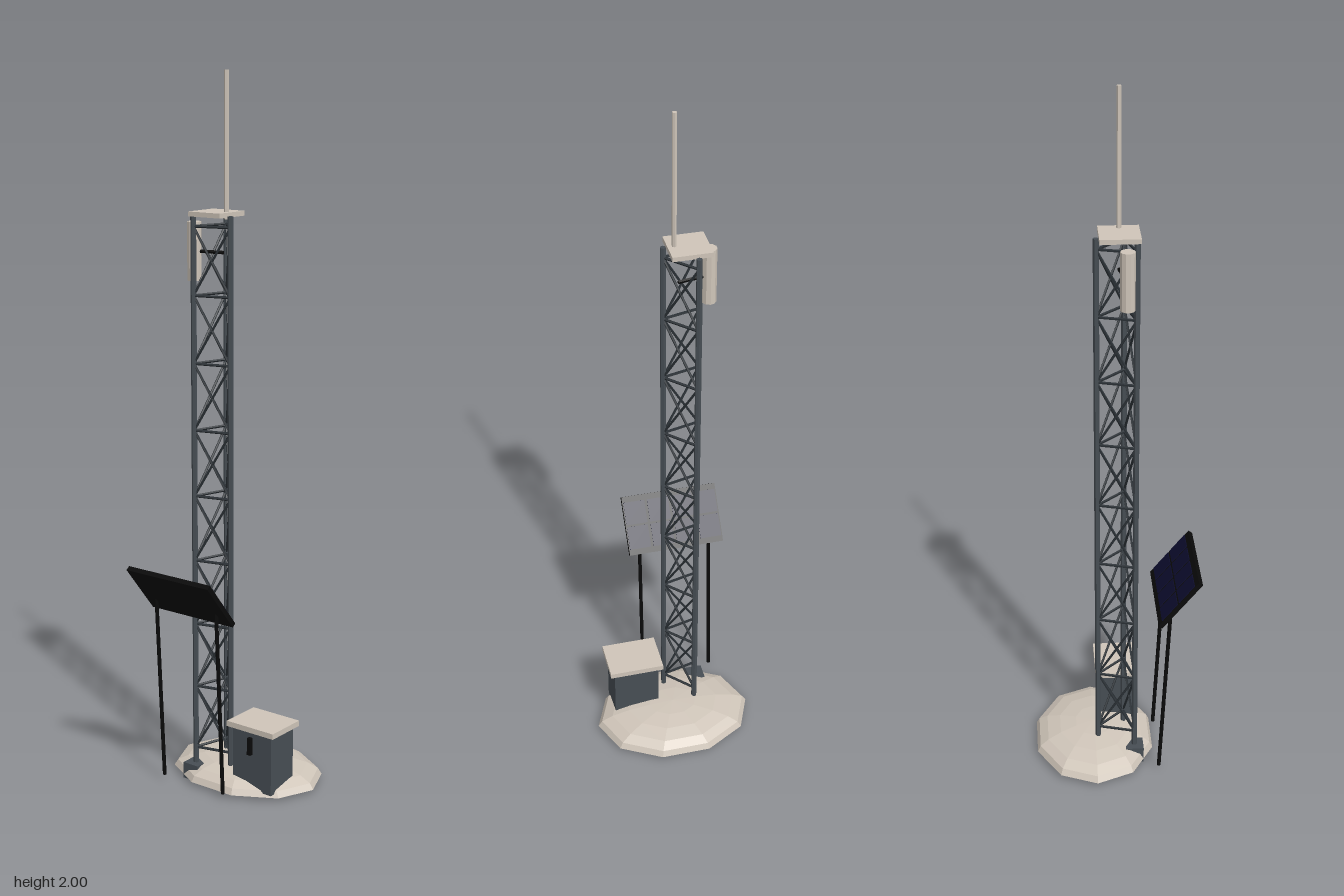
import * as THREE from 'three';

const mat = (name, color) => {
  const m = new THREE.MeshStandardMaterial({ color, flatShading: true });
  m.name = name;
  return m;
};

export function createModel() {
  const beige = mat('beige', 0xcfc5b9);
  const slate = mat('slate', 0x474e54);
  const steel = mat('dark steel', 0x2b3136);
  const black = mat('black', 0x0a0a0a);
  const navy = mat('solar navy', 0x0e0e30);

  const model = new THREE.Group();
  model.name = 'radioTower';

  const add = (parent, name, geo, material, x = 0, y = 0, z = 0) => {
    const mesh = new THREE.Mesh(geo, material);
    mesh.name = name;
    mesh.position.set(x, y, z);
    parent.add(mesh);
    return mesh;
  };
  const box = (parent, name, w, h, d, material, x, y, z) =>
    add(parent, name, new THREE.BoxGeometry(w, h, d), material, x, y, z);
  // Round bar between two points
  const bar = (parent, name, a, b, r, material, sides = 5) => {
    const dir = b.clone().sub(a);
    const mid = a.clone().add(b).multiplyScalar(0.5);
    const mesh = add(parent, name, new THREE.CylinderGeometry(r, r, dir.length(), sides), material, mid.x, mid.y, mid.z);
    mesh.quaternion.setFromUnitVectors(new THREE.Vector3(0, 1, 0), dir.normalize());
    return mesh;
  };
  const v = (x, y, z) => new THREE.Vector3(x, y, z);

  // Low ground mound with a closed underside
  const dome = new THREE.SphereGeometry(1, 10, 5, 0, Math.PI * 2, 0, Math.PI / 2).scale(0.233, 0.055, 0.179);
  add(model, 'mound', dome, beige, 0, 0.011, -0.062);
  const base = new THREE.CircleGeometry(1, 10).rotateX(Math.PI / 2).scale(0.233, 1, 0.179);
  add(model, 'moundUnderside', base, beige, 0, 0.011, -0.062);

  // Three-legged lattice tower
  const tower = new THREE.Group();
  tower.name = 'latticeTower';
  model.add(tower);
  const cx = -0.054, cz = 0.009, radius = 0.063;
  const corner = (i, y) => {
    const a = THREE.MathUtils.degToRad(16 + 120 * i);
    return v(cx + radius * Math.cos(a), y, cz + radius * Math.sin(a));
  };
  const firstLevel = 0.094, step = 0.187, bays = 8;
  for (let i = 0; i < 3; i++) {
    const foot = corner(i, 0.024);
    box(tower, 'footing', 0.052, 0.048, 0.052, slate, foot.x, foot.y, foot.z);
    bar(tower, 'leg', corner(i, 0.02), corner(i, 1.62), 0.008, slate, 6);
    for (let k = 0; k <= bays; k++) {
      const y = firstLevel + k * step;
      bar(tower, 'crossBar', corner(i, y), corner(i + 1, y), 0.004, steel);
      if (k === bays) continue;
      bar(tower, 'diagonalBrace', corner(i, y), corner(i + 1, y + step), 0.0035, steel);
      bar(tower, 'diagonalBrace', corner(i + 1, y), corner(i, y + step), 0.0035, steel);
    }
  }

  // Top platform and mast
  box(model, 'topPlate', 0.108, 0.013, 0.108, beige, -0.055, 1.623, cz);
  bar(model, 'mast', v(-0.019, 1.61, 0.01), v(-0.019, 2, 0.01), 0.0065, beige, 6);

  // Side antenna on its bracket
  add(model, 'sideAntenna', new THREE.CylinderGeometry(0.02, 0.02, 0.16, 10), beige, -0.117, 1.52, 0.027);
  bar(model, 'antennaBracket', v(-0.115, 1.52, 0.026), v(-0.03, 1.52, 0.01), 0.005, black);

  // Equipment cabinet
  const cabinet = new THREE.Group();
  cabinet.name = 'cabinet';
  cabinet.position.set(0.1075, 0, 0.0085);
  model.add(cabinet);
  box(cabinet, 'cabinetBody', 0.134, 0.178, 0.104, slate, 0, 0.109, 0);
  box(cabinet, 'cabinetLid', 0.161, 0.016, 0.125, beige, 0, 0.204, 0);
  box(cabinet, 'cabinetHandle', 0.012, 0.05, 0.012, black, -0.003, 0.153, 0.057);

  // Tilted solar panel: frame with a 4 x 2 grid of cells
  const panel = new THREE.Group();
  panel.name = 'solarPanel';
  panel.position.set(-0.055, 0.588, 0.171);
  panel.rotation.x = THREE.MathUtils.degToRad(-51);
  model.add(panel);
  box(panel, 'panelFrame', 0.286, 0.014, 0.175, black, 0, 0, 0);
  for (let c = 0; c < 4; c++) {
    for (let r = 0; r < 2; r++) {
      box(panel, 'solarCell', 0.0635, 0.003, 0.067, navy, (c - 1.5) * 0.072, 0.0078, (r - 0.5) * 0.0735);
    }
  }
  // Panel posts
  for (const x of [-0.162, 0.051]) {
    bar(model, 'panelPost', v(x, 0.015, 0.12), v(x, 0.557, 0.148), 0.0055, black, 6);
  }

  return model;
}
